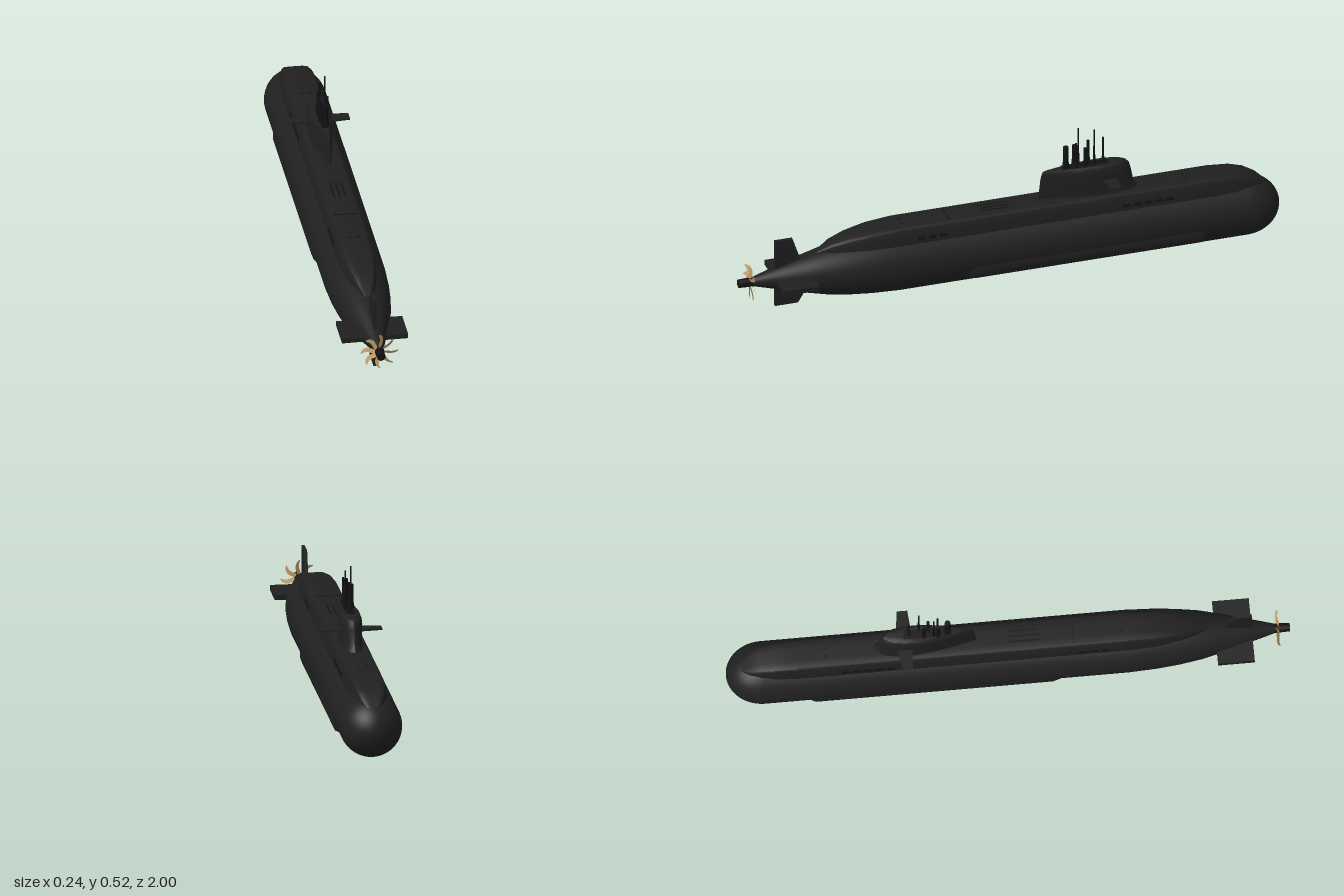
import * as THREE from 'three';
import { toCreasedNormals } from 'three/addons/utils/BufferGeometryUtils.js';

const AXIS_Y = 0.114; // height of the hull's centre line
const R = 0.111;      // hull radius

const paint = (name, color, side = THREE.FrontSide) => {
  const m = new THREE.MeshStandardMaterial({ color, side });
  m.name = name;
  return m;
};

// Skins closed rings of [x, y] points, counter-clockwise, stacked along rising z
function loft(rings, crease = 0.6) {
  const pos = [], idx = [], n = rings[0].points.length;
  for (const { points, z } of rings) for (const [x, y] of points) pos.push(x, y, z);
  for (let i = 0; i < rings.length - 1; i++) {
    for (let j = 0; j < n; j++) {
      const a = i * n + j, b = i * n + (j + 1) % n;
      idx.push(a, b, b + n, a, b + n, a + n);
    }
  }
  const last = (rings.length - 1) * n;
  for (let j = 1; j < n - 1; j++) {
    idx.push(0, j + 1, j);
    idx.push(last, last + j, last + j + 1);
  }
  const g = new THREE.BufferGeometry();
  g.setAttribute('position', new THREE.Float32BufferAttribute(pos, 3));
  g.setIndex(idx);
  return toCreasedNormals(g, crease);
}

// Flat plate from an outline, centred on its own thickness
function plate(outline, thickness) {
  const shape = new THREE.Shape(outline.map(([x, y]) => new THREE.Vector2(x, y)));
  return new THREE.ExtrudeGeometry(shape, { depth: thickness, bevelEnabled: false })
    .translate(0, 0, -thickness / 2);
}

export function createModel() {
  const black = paint('hull black', 0x202020);
  const dark = paint('dark fittings', 0x121212);
  const brass = paint('propeller brass', 0xc4a06c, THREE.DoubleSide);
  const model = new THREE.Group();
  model.name = 'submarine';
  const add = (name, geometry, material, x = 0, y = 0, z = 0, parent = model) => {
    const mesh = new THREE.Mesh(geometry, material);
    mesh.name = name;
    mesh.position.set(x, y, z);
    parent.add(mesh);
    return mesh;
  };

  // Pressure hull: elliptical bow, straight middle, tapered stern
  const profile = [];
  for (let i = 0; i <= 14; i++) {
    const a = (i / 14) * Math.PI / 2;
    profile.push([R * Math.sin(a), -0.87 - 0.13 * Math.cos(a)]);
  }
  profile.push([R, 0.42], [0.1065, 0.52], [0.099, 0.6], [0.087, 0.68], [0.068, 0.76],
    [0.046, 0.84], [0.024, 0.92], [0.017, 0.945]);
  add('hull', new THREE.LatheGeometry(profile.map(p => new THREE.Vector2(...p)), 48)
    .rotateX(Math.PI / 2), black, 0, AXIS_Y, 0);

  // Deck casing along the top: [z, half width, top height]
  const casing = [[-0.95, 0.025, 0.2], [-0.92, 0.045, 0.225], [-0.88, 0.058, 0.246],
    [-0.83, 0.065, 0.259], [-0.75, 0.068, 0.265], [0.42, 0.068, 0.265], [0.52, 0.063, 0.257],
    [0.6, 0.05, 0.243], [0.66, 0.035, 0.225], [0.71, 0.012, 0.198]];
  const half = [[1.05, 0], [1, 0.435], [0.92, 0.74], [0.85, 0.91], [0.78, 0.97], [0.68, 0.993], [0.35, 1]];
  const arch = [...half, ...half.map(([x, t]) => [-x, t]).reverse()];
  add('deckCasing', loft(casing.map(([z, w, top]) => ({
    z, points: arch.map(([x, t]) => [x * w, 0.15 + t * (top - 0.15)]),
  }))), black);

  // Flank sonar fairings low on both sides
  const flank = [[0.108, 0.098], [0.1105, 0.085], [0.1105, 0.068], [0.102, 0.045], [0.08, 0.035]];
  for (const s of [1, -1]) {
    const ring = (z, k) => {
      const pts = [[0.07, 0.08], [0.07, 0.04], ...[...flank].reverse()]
        .map(([x, y]) => [s * (0.06 + (x - 0.06) * k), 0.068 + (y - 0.068) * k]);
      return { z, points: s > 0 ? pts : pts.reverse() };
    };
    add(s > 0 ? 'leftFlankArray' : 'rightFlankArray',
      loft([ring(-0.72, 0.7), ring(-0.69, 1), ring(0.15, 1), ring(0.2, 0.7)], 0.4), black);
  }

  // Sail: teardrop sections [height, bow end z, aft end z, half width]
  const foil = [[0, 0], [0.015, 0.27], [0.05, 0.54], [0.12, 0.8], [0.23, 0.97], [0.4, 1],
    [0.6, 0.8], [0.8, 0.45], [1, 0.03]];
  const tear = [...foil.map(([t, f]) => [t, -f]), ...foil.slice(1).reverse()];
  const sail = [[0.255, -0.49, -0.11, 0.042], [0.268, -0.477, -0.112, 0.039], [0.285, -0.464, -0.114, 0.038],
    [0.34, -0.453, -0.12, 0.04], [0.36, -0.447, -0.124, 0.038], [0.371, -0.437, -0.129, 0.034],
    [0.376, -0.42, -0.14, 0.027]];
  add('sail', loft(sail.map(([h, fore, aft, w]) => ({
    z: h, points: tear.map(([t, f]) => [f * w, -(fore + (aft - fore) * t)]),
  }))).rotateX(-Math.PI / 2), black);
  add('sailTopRecess', new THREE.BoxGeometry(0.03, 0.004, 0.17), dark, 0, 0.3755, -0.285);

  // Masts and periscopes: [x, z, radius, top height]
  const masts = [[0, -0.214, 0.010, 0.46], [-0.012, -0.248, 0.007, 0.455], [-0.013, -0.264, 0.0025, 0.52],
    [0.012, -0.282, 0.006, 0.45], [-0.012, -0.3, 0.006, 0.465], [0.013, -0.315, 0.0028, 0.52],
    [0.012, -0.248, 0.004, 0.475], [0, -0.352, 0.004, 0.475]];
  const mastGroup = new THREE.Group();
  mastGroup.name = 'masts';
  model.add(mastGroup);
  for (const [x, z, r, top] of masts) {
    add('mast', new THREE.CylinderGeometry(r, r, top - 0.36, 12), dark, x, (top + 0.36) / 2, z, mastGroup);
    add('mastSleeve', new THREE.CylinderGeometry(r + 0.002, r + 0.002, 0.035, 12), dark, x, 0.3785, z, mastGroup);
    if (r < 0.003) add('mastHousing', new THREE.CylinderGeometry(0.003, 0.005, 0.1, 10), dark, x, 0.42, z, mastGroup);
  }

  for (const s of [1, -1]) {
    const side = s > 0 ? 'left' : 'right';
    // Sail planes
    add(side + 'SailPlane', plate([[0.02, -0.395], [0.109, -0.385], [0.109, -0.347], [0.02, -0.34]]
      .map(([x, z]) => [s * x, z]), 0.006).rotateX(Math.PI / 2), black, 0, 0.32, 0);
    // Stern planes
    add(side + 'SternPlane', plate([[0.02, 0.735], [0.118, 0.735], [0.118, 0.865], [0.02, 0.865]]
      .map(([x, z]) => [s * x, z]), 0.018).rotateX(Math.PI / 2), black, 0, AXIS_Y, 0);
    // Flood slots in the casing sides
    for (const z of [-0.58, -0.54, -0.5, -0.46, -0.42, 0.26, 0.3, 0.34]) {
      add(side + 'FloodSlot', new THREE.BoxGeometry(0.004, 0.012, 0.028), dark, s * 0.0645, 0.22, z)
        .rotation.z = s * 0.17;
    }
  }

  // Rudders, outlines in (z, y)
  const rudder = (name, outline) =>
    add(name, plate(outline, 0.012).rotateY(-Math.PI / 2), black);
  rudder('upperRudder', [[0.765, 0.12], [0.775, 0.19], [0.8, 0.265], [0.865, 0.265], [0.865, 0.12]]);
  rudder('lowerRudder', [[0.75, 0.11], [0.755, 0.045], [0.78, 0.003], [0.865, 0.003], [0.865, 0.11]]);

  // Deck grooves and hatches
  for (const x of [-0.02, 0, 0.02]) {
    add('deckGroove', new THREE.BoxGeometry(0.005, 0.002, 0.11), dark, x, 0.265, 0.055);
  }
  add('deckSeam', new THREE.BoxGeometry(0.09, 0.002, 0.004), dark, 0, 0.265, 0.23);
  for (const z of [-0.65, 0.4]) {
    for (const x of [-0.015, 0.015]) {
      add('deckHatch', new THREE.BoxGeometry(0.008, 0.002, 0.012), dark, x, 0.265, z);
    }
  }

  // Propeller: hub and eight swept blades
  const propeller = new THREE.Group();
  propeller.name = 'propeller';
  propeller.position.set(0, AXIS_Y, 0.957);
  model.add(propeller);
  add('hub', new THREE.CylinderGeometry(0.015, 0.018, 0.07, 24).rotateX(Math.PI / 2), dark, 0, 0, 0.008, propeller);
  const blade = new THREE.Shape();
  blade.moveTo(0.005, 0.012);
  blade.splineThru([[0.012, 0.03], [0.0145, 0.045], [0.01, 0.06], [0, 0.068]].map(p => new THREE.Vector2(...p)));
  blade.splineThru([[-0.003, 0.065], [0.001, 0.055], [0.001, 0.04], [-0.004, 0.025], [-0.004, 0.012]]
    .map(p => new THREE.Vector2(...p)));
  const bladeGeo = new THREE.ShapeGeometry(blade, 6);
  const p = bladeGeo.attributes.position; // pitch the blade
  for (let i = 0; i < p.count; i++) p.setZ(i, -0.6 * (p.getX(i) - 0.004));
  bladeGeo.computeVertexNormals();
  for (let i = 0; i < 8; i++) {
    add('blade', bladeGeo, brass, 0, 0, 0, propeller).rotation.z = i * Math.PI / 4;
  }
  return model;
}
